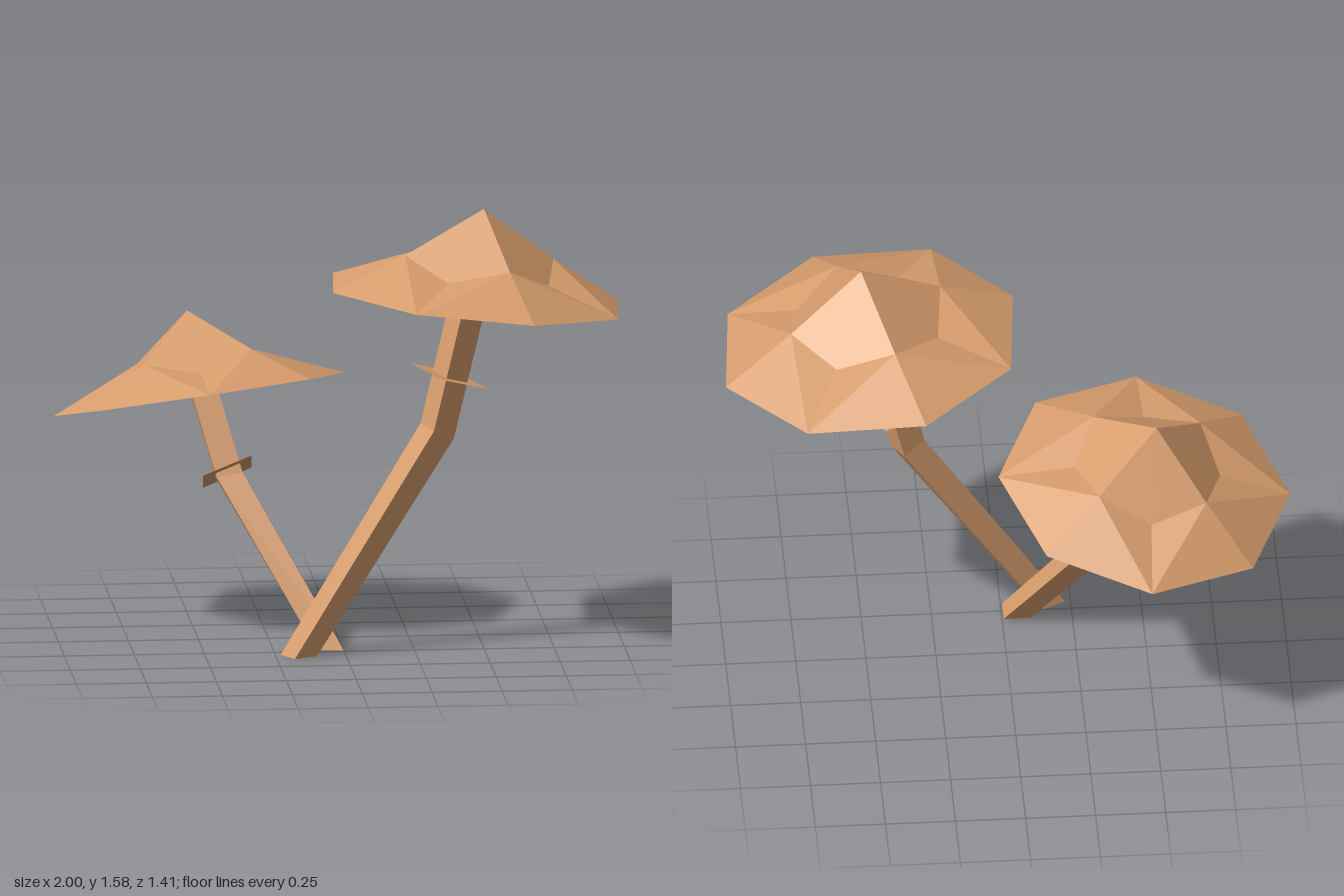
import * as THREE from 'three';

const UP = new THREE.Vector3(0, 1, 0);

// Points at [radius, height] spaced evenly round an axis through centre along normal
function ring(centre, normal, count, phaseDeg, rule) {
  const q = new THREE.Quaternion().setFromUnitVectors(UP, new THREE.Vector3(...normal).normalize());
  return Array.from({ length: count }, (_, i) => {
    const [r, h] = rule(i);
    const a = THREE.MathUtils.degToRad(phaseDeg) + (i / count) * Math.PI * 2;
    return new THREE.Vector3(Math.cos(a) * r, h, Math.sin(a) * r)
      .applyQuaternion(q).add(new THREE.Vector3(...centre));
  });
}

// Faceted mesh from a list of triangles
function facetedMesh(name, triangles, material) {
  const geometry = new THREE.BufferGeometry().setFromPoints(triangles.flat());
  geometry.computeVertexNormals();
  const mesh = new THREE.Mesh(geometry, material);
  mesh.name = name;
  return mesh;
}

// Open eight-sided cap: four flat kite faces at the top, sloping panels to the rim
function makeCap({ centre, normal, phase, scale }, material) {
  const at = (count, rule) => ring(centre, normal, count, phase, rule);
  const apex = at(1, () => [0, 0.317 * scale])[0];
  const inner = at(8, (i) => (i % 2 ? [0.275 * scale, 0.08 * scale] : [0.287 * scale, 0.142 * scale]));
  const rim = at(8, () => [0.552 * scale, 0]);
  const triangles = [];
  for (let i = 0; i < 8; i++) {
    const j = (i + 1) % 8;
    triangles.push([apex, inner[j], inner[i]]);
    if (i % 2) triangles.push([inner[i], inner[j], rim[i]], [inner[j], rim[j], rim[i]]);
    else triangles.push([inner[i], inner[j], rim[j]], [inner[i], rim[j], rim[i]]);
  }
  return facetedMesh('cap', triangles, material);
}

// Square stem lofted through its sections, closed at both ends
function makeStem({ sections, phase }, material) {
  const rings = sections.map(([centre, normal]) => ring(centre, normal, 4, phase, () => [0.066, 0]));
  const triangles = [];
  for (let s = 0; s < rings.length - 1; s++) {
    const lower = rings[s], upper = rings[s + 1];
    for (let i = 0; i < 4; i++) {
      const j = (i + 1) % 4;
      triangles.push([lower[i], upper[i], upper[j]], [lower[i], upper[j], lower[j]]);
    }
  }
  const a = rings[0], b = rings[rings.length - 1];
  triangles.push([a[0], a[1], a[2]], [a[0], a[2], a[3]]);
  triangles.push([b[0], b[2], b[1]], [b[0], b[3], b[2]]);
  return facetedMesh('stem', triangles, material);
}

// Flat square skirt round the stem
function makeSkirt({ centre, normal, phase, radius }, material) {
  const p = ring(centre, normal, 4, phase, () => [radius, 0]);
  return facetedMesh('skirt', [[p[0], p[2], p[1]], [p[0], p[3], p[2]]], material);
}

export function createModel() {
  const tan = new THREE.MeshStandardMaterial({ color: 0xd69c6c, side: THREE.DoubleSide });
  tan.name = 'mushroom tan';

  const mushrooms = [
    {
      name: 'tallMushroom',
      cap: { centre: [0.475, 1.27, 0.178], normal: [0.097, 1, -0.025], phase: -107.5, scale: 1 },
      stem: {
        phase: 17,
        sections: [
          [[-0.168, 0.003, 0.312], [0, 1, 0]],
          [[0.335, 0.79, 0.21], [0.4, 0.9, -0.05]],
          [[0.49, 1.43, 0.185], [0.24, 0.97, -0.02]],
        ],
      },
      skirt: { centre: [0.382, 0.983, 0.19], normal: [0.31, 1, -0.03], phase: 17, radius: 0.15 },
    },
    {
      name: 'shortMushroom',
      cap: { centre: [-0.48, 0.855, -0.19], normal: [-0.135, 1, -0.2], phase: -45, scale: 0.952 },
      stem: {
        phase: 45,
        sections: [
          [[-0.052, 0.013, 0.235], [0, 1, 0]],
          [[-0.385, 0.585, -0.07], [-0.2, 1, -0.2]],
          [[-0.51, 1.03, -0.24], [-0.2, 1, -0.25]],
        ],
      },
      skirt: { centre: [-0.39, 0.595, -0.078], normal: [-0.43, 1, -0.5], phase: 45, radius: 0.133 },
    },
  ];

  const model = new THREE.Group();
  model.name = 'mushrooms';
  for (const m of mushrooms) {
    const group = new THREE.Group();
    group.name = m.name;
    group.add(makeCap(m.cap, tan), makeStem(m.stem, tan), makeSkirt(m.skirt, tan));
    model.add(group);
  }
  return model;
}
